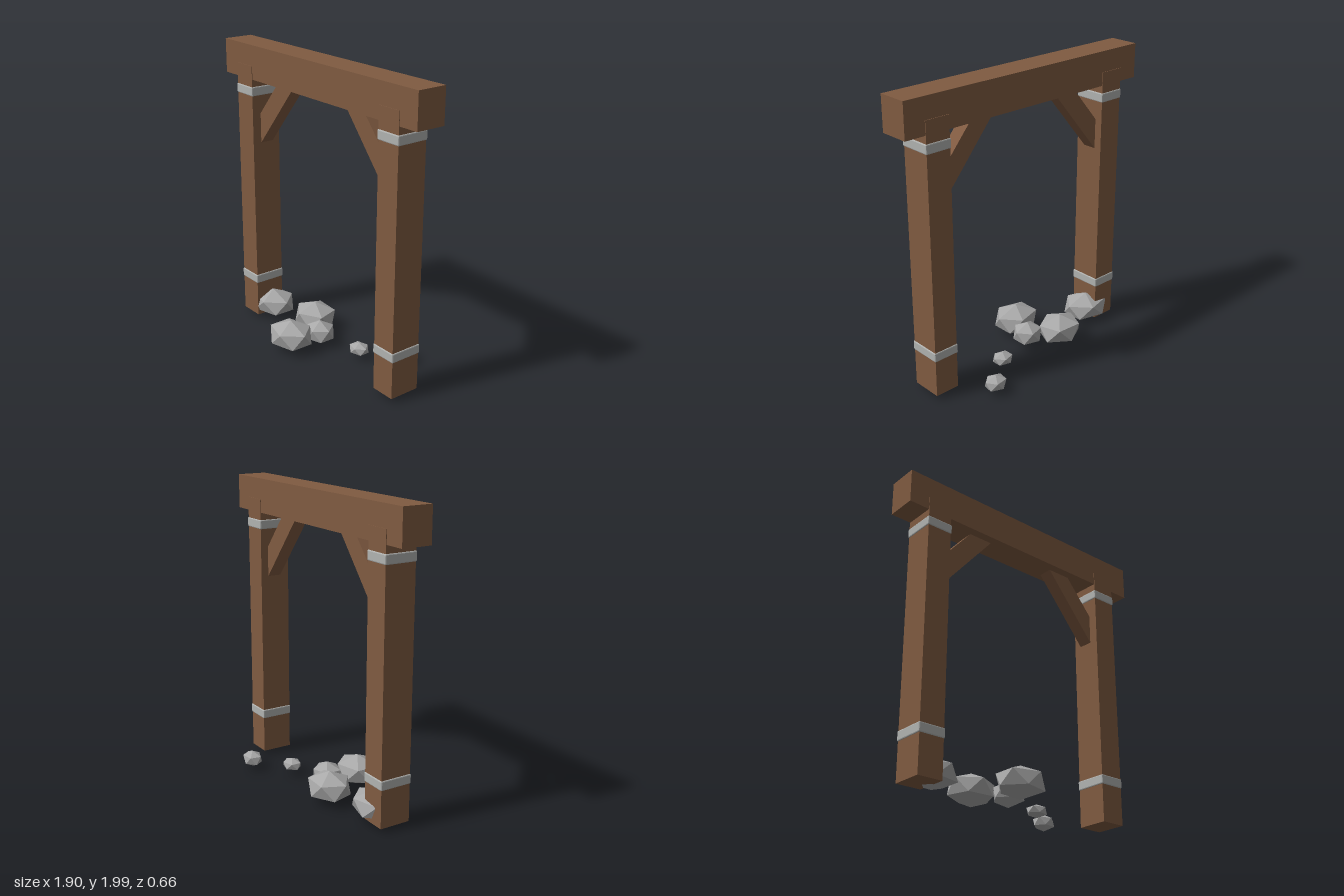
import * as THREE from 'three';
import { RoundedBoxGeometry } from 'three/addons/geometries/RoundedBoxGeometry.js';

const material = (name, color) => {
  const m = new THREE.MeshStandardMaterial({ color, flatShading: true });
  m.name = name;
  return m;
};

export function createModel() {
  const group = new THREE.Group();
  const wood = material('brown wood', 0x805b41);
  const iron = material('grey band', 0xb1b3b1);
  const stone = material('grey stone', 0xa8a8a8);
  const midZ = 0.017; // the timber frame sits slightly forward

  const add = (name, geometry, mat, x, y, z) => {
    const mesh = new THREE.Mesh(geometry, mat);
    mesh.name = name;
    mesh.position.set(x, y, z);
    group.add(mesh);
    return mesh;
  };

  // Cross beam
  add('crossBeam', new THREE.BoxGeometry(1.9, 0.23, 0.203), wood, 0, 1.885, midZ);

  for (const side of [-1, 1]) {
    const label = side > 0 ? 'left' : 'right';
    // Post, its top let into the beam
    add(label + 'Post', new THREE.BoxGeometry(0.17, 1.82, 0.211), wood, side * 0.723, 0.95, midZ);

    // Bands around the post
    for (const [level, y] of [['Lower', 0.322], ['Upper', 1.688]]) {
      add(label + level + 'Band', new RoundedBoxGeometry(0.182, 0.063, 0.222, 1, 0.007), iron, side * 0.723, y, midZ);
    }

    // Diagonal brace, its ends buried in post and beam
    const points = [[0.64, 1.325], [0.66, 1.325], [0.66, 1.53], [0.64, 1.53], [0.43, 1.775], [0.26, 1.775]];
    const shape = new THREE.Shape(points.map(([x, y]) => new THREE.Vector2(side * x, y)));
    add(label + 'Brace', new THREE.ExtrudeGeometry(shape, { depth: 0.095, bevelEnabled: false }), wood, 0, 0, -0.035);
  }

  // Rocks: squashed icosahedra standing on a corner [x, y, z, rx, ry, rz, yaw]
  const rocks = [
    [-0.625, 0.117, -0.005, 0.185, 0.097, 0.148, Math.PI],
    [-0.26, 0.116, -0.105, 0.17, 0.105, 0.148, 0.25],
    [-0.13, 0.117, 0.2, 0.175, 0.105, 0.148, Math.PI],
    [-0.06, 0.105, 0.005, 0.112, 0.085, 0.105, Math.PI],
    [0.25, 0.078, -0.085, 0.078, 0.044, 0.066, Math.PI],
    [0.478, 0.082, -0.272, 0.084, 0.056, 0.07, 0.5],
  ];
  const upright = Math.atan(2 / (1 + Math.sqrt(5)));
  rocks.forEach(([x, y, z, rx, ry, rz, yaw], i) => {
    const geometry = new THREE.IcosahedronGeometry(1, 0);
    geometry.rotateZ(upright).rotateY(yaw).scale(rx, ry, rz);
    add('rock' + (i + 1), geometry, stone, x, y, z);
  });

  return group;
}
